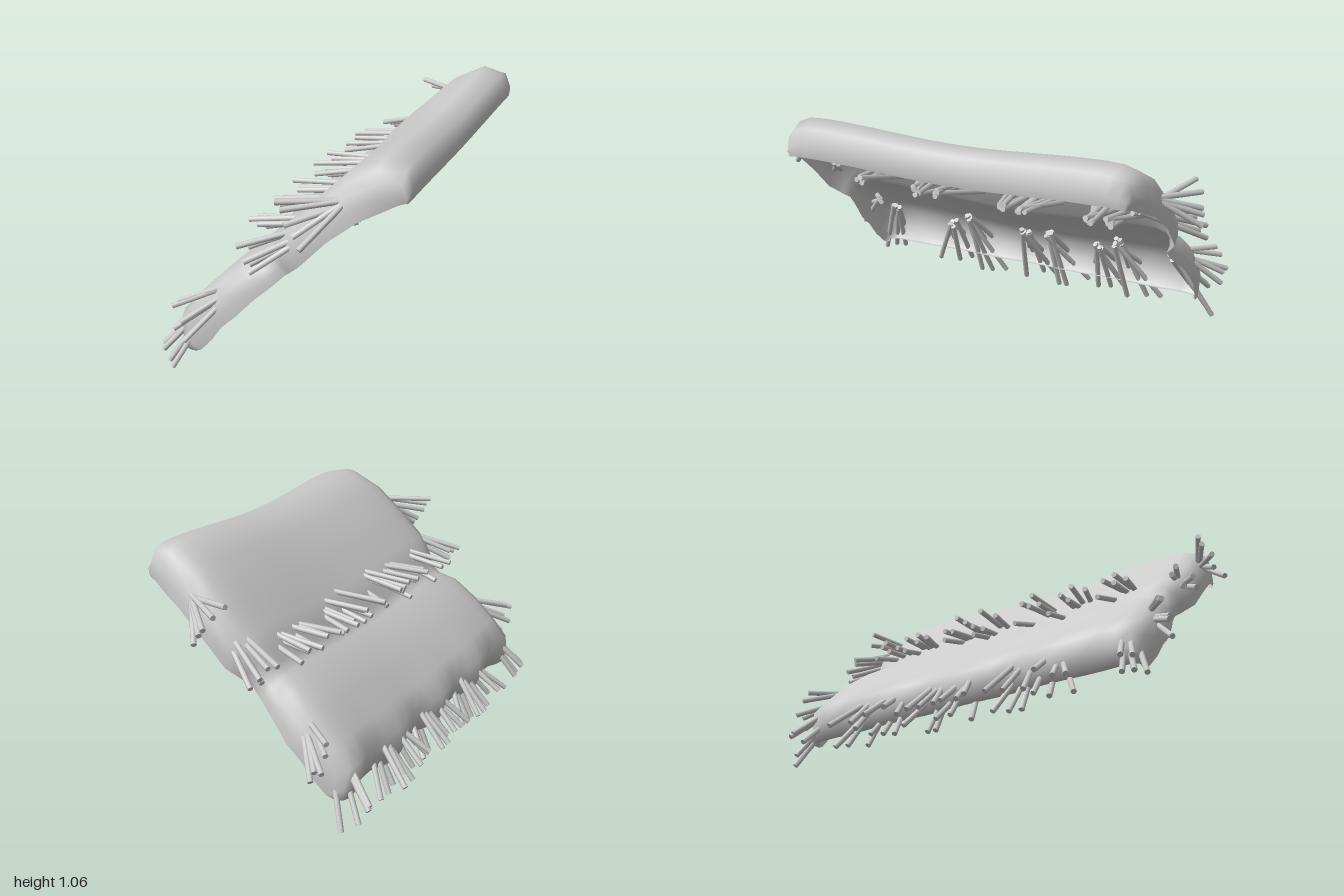
import * as THREE from 'three';

const material = new THREE.MeshStandardMaterial({ color: 0xcccccc, side: THREE.DoubleSide });

// Small seeded generator, returns -1..1
let seed = 7;
const rand = () => {
  seed = (seed * 16807) % 2147483647;
  return (seed / 2147483647) * 2 - 1;
};

// Two-tier profile down the slope, and the rim of the folded side flaps (x, y, half width)
const crown = [
  [0.565, 0.915], [0.575, 0.97], [0.55, 1.045], [0.45, 1.065], [0.3, 0.985], [0.16, 0.85], [0.05, 0.745],
  [-0.012, 0.67], [-0.032, 0.61], [-0.075, 0.575], [-0.15, 0.55], [-0.27, 0.455], [-0.37, 0.36],
  [-0.44, 0.285], [-0.435, 0.21], [-0.41, 0.145], [-0.37, 0.155],
];
const rim = [
  [0.565, 0.92, 0.78], [0.56, 0.925, 0.79], [0.53, 0.915, 0.8], [0.45, 0.875, 0.83], [0.38, 0.84, 0.85],
  [0.26, 0.745, 0.87], [0.14, 0.62, 0.87], [0.08, 0.565, 0.83], [0.05, 0.54, 0.81], [0, 0.49, 0.82],
  [-0.08, 0.42, 0.85], [-0.15, 0.345, 0.87], [-0.22, 0.28, 0.87], [-0.27, 0.21, 0.865],
  [-0.33, 0.145, 0.855], [-0.36, 0.13, 0.845], [-0.36, 0.14, 0.835],
];

// Draped sheet: profile swept along z, both ends folding down into flaps
function thatchSheet() {
  const fold = [[1, 1], [1.005, 0.7], [0.995, 0.38], [0.96, 0.13], [0.89, 0.02]];
  const columns = fold.map(([f, b]) => [-f, b]);
  for (let k = -8; k <= 8; k++) columns.push([(k / 8) * 0.8, 0]);
  columns.push(...fold.slice().reverse());

  const rows = crown.length - 1, positions = [], index = [];
  for (let i = 0; i <= rows; i++) {
    const t = i / rows;
    const lower = THREE.MathUtils.smoothstep(t, 0.7, 0.9);
    const ridge = 1 - THREE.MathUtils.smoothstep(t, 0, 0.25);
    const [cx, cy] = crown[i], [rx, ry, width] = rim[i];
    for (const [f, blend] of columns) {
      const z = f * width;
      // Gentle sag in the middle and scallops at the eave
      const sag = 0.015 * Math.cos(z * 4.6) * (1 - blend);
      const scallop = 0.02 * Math.cos((z * Math.PI * 2) / 0.42) * lower * (1 - blend);
      positions.push(
        THREE.MathUtils.lerp(cx, rx, blend) - scallop - sag * ridge * 0.6,
        THREE.MathUtils.lerp(cy, ry, blend) - sag * (1 - lower) - scallop * 0.4,
        z,
      );
    }
  }
  const n = columns.length;
  for (let i = 0; i < rows; i++) {
    for (let j = 0; j < n - 1; j++) {
      const a = i * n + j, b = a + n;
      index.push(a, b, a + 1, b, b + 1, a + 1);
    }
  }
  const geometry = new THREE.BufferGeometry();
  geometry.setAttribute('position', new THREE.Float32BufferAttribute(positions, 3));
  geometry.setIndex(index);
  geometry.computeVertexNormals();
  const mesh = new THREE.Mesh(geometry, material);
  mesh.name = 'thatchSheet';
  return mesh;
}

// Fan of straws leaving one root point; spread is the half size of the fan at the tips,
// depth staggers alternate tips above and below the slope
const strawGeometry = new THREE.CylinderGeometry(0.0125, 0.0125, 1, 8);
const up = new THREE.Vector3(0, 1, 0);
function strawBundle(name, root, tip, spread, depth = 0, count = 5) {
  const group = new THREE.Group();
  group.name = name;
  for (let k = 0; k < count; k++) {
    const s = (k / (count - 1)) * 2 - 1;
    const lift = k % 2 ? depth : -depth;
    const start = new THREE.Vector3(...root.map((v) => v + rand() * 0.018));
    const end = new THREE.Vector3(...tip.map((v, a) => v + s * spread[a] + rand() * 0.02));
    end.x -= lift;
    end.y += lift;
    const along = end.clone().sub(start);
    const straw = new THREE.Mesh(strawGeometry, material);
    straw.name = 'straw';
    straw.scale.y = along.length();
    straw.position.copy(start).addScaledVector(along, 0.5);
    straw.quaternion.setFromUnitVectors(up, along.normalize());
    group.add(straw);
  }
  return group;
}

export function createModel() {
  seed = 7;
  const model = new THREE.Group();
  model.name = 'thatchedRoofPanel';
  model.add(thatchSheet());

  // Eave bundles, tucked under the lower edge: [root z, tip z, root y, tip y]
  for (const [z0, z1, y0, y1] of [
    [0.41, 0.5, 0.34, 0.09], [0.32, 0.28, 0.4, 0.06], [0.01, 0.02, 0.37, 0.09],
    [-0.11, -0.15, 0.37, 0.085], [-0.38, -0.36, 0.36, 0.1], [-0.47, -0.55, 0.4, 0.08],
  ]) {
    model.add(strawBundle('eaveStraws', [-0.28, y0, z0], [-0.5, y1, z1], [0.015, -0.015, 0.095], 0.04, 6));
  }

  // Bundles poking out under the step between the two tiers
  for (const [z0, z1] of [[0.6, 0.6], [0.3, 0.37], [0.19, 0.17], [-0.13, -0.08], [-0.22, -0.25], [-0.53, -0.47], [-0.62, -0.64]]) {
    model.add(strawBundle('stepStraws', [0.3, 0.745, z0], [-0.155, 0.675, z1], [0, 0.025, 0.07], 0.015));
  }

  // Bundles along both side flaps
  for (const s of [1, -1]) {
    model.add(
      strawBundle('upperSideStraws', [0.34, 0.905, 0.81 * s], [0.14, 0.83, 0.965 * s], [0.05, -0.075, 0.02 * s]),
      strawBundle('middleSideStraws', [0.27, 0.81, 0.73 * s], [-0.08, 0.645, 0.92 * s], [0.03, -0.03, 0.045 * s], 0.01),
      strawBundle('lowerSideStraws', [-0.18, 0.45, 0.78 * s], [-0.37, 0.335, 0.965 * s], [0.02, -0.08, 0.02 * s], 0.01),
      strawBundle('cornerStraws', [-0.28, 0.38, 0.74 * s], [-0.5, 0.095, 0.86 * s], [0.02, -0.02, 0.05 * s], 0.03),
    );
  }
  return model;
}
